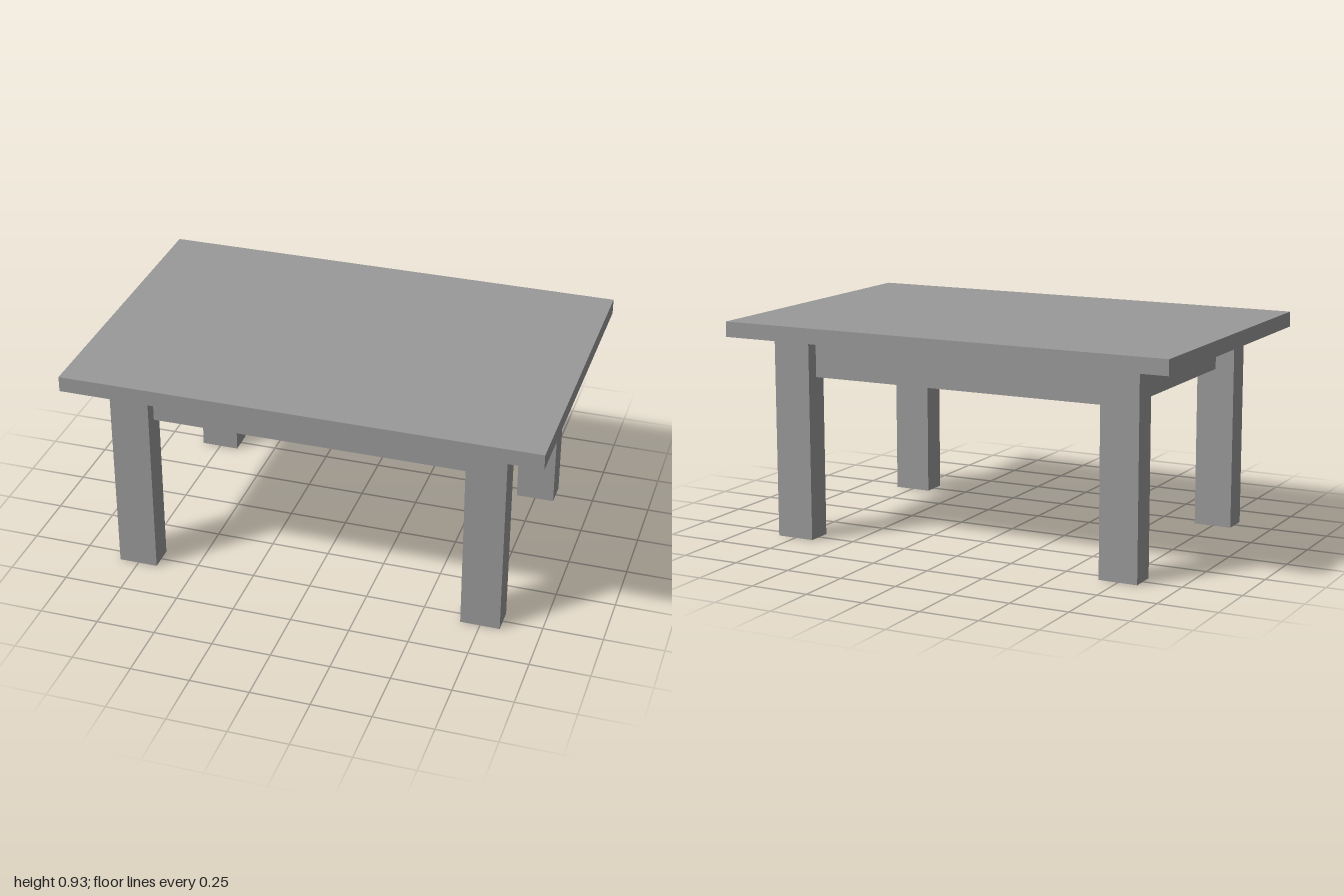
import * as THREE from 'three';

const grey = new THREE.MeshStandardMaterial({ color: 0x999999 });
grey.name = 'grey';

// Box given by its min and max corners
function block(name, [x0, y0, z0], [x1, y1, z1]) {
  const geometry = new THREE.BoxGeometry(x1 - x0, y1 - y0, z1 - z0);
  const mesh = new THREE.Mesh(geometry, grey);
  mesh.position.set((x0 + x1) / 2, (y0 + y1) / 2, (z0 + z1) / 2);
  mesh.name = name;
  return mesh;
}

export function createModel() {
  const table = new THREE.Group();
  table.name = 'table';

  const topY = 0.927, underY = 0.862, apronY = 0.692;
  const legIn = { x: 0.667, z: 0.444 };
  const legOut = { x: 0.833, z: 0.556 };
  const apronOut = { x: 0.75, z: 0.5 };

  // Table top
  table.add(block('tableTop', [-1, underY, -0.667], [1, topY, 0.667]));

  // Four legs
  for (const [sx, side] of [[1, 'Left'], [-1, 'Right']]) {
    for (const [sz, end] of [[1, 'front'], [-1, 'back']]) {
      const leg = block(`${end}${side}Leg`, [legIn.x, 0, legIn.z], [legOut.x, underY, legOut.z]);
      leg.position.x *= sx;
      leg.position.z *= sz;
      table.add(leg);
    }
  }

  // Aprons between the legs, outer faces on the leg centre lines
  for (const [s, longName, shortName] of [[1, 'frontApron', 'leftApron'], [-1, 'backApron', 'rightApron']]) {
    const long = block(longName, [-legIn.x, apronY, legIn.z], [legIn.x, underY, apronOut.z]);
    long.position.z *= s;
    const short = block(shortName, [legIn.x, apronY, -legIn.z], [apronOut.x, underY, legIn.z]);
    short.position.x *= s;
    table.add(long, short);
  }

  return table;
}
